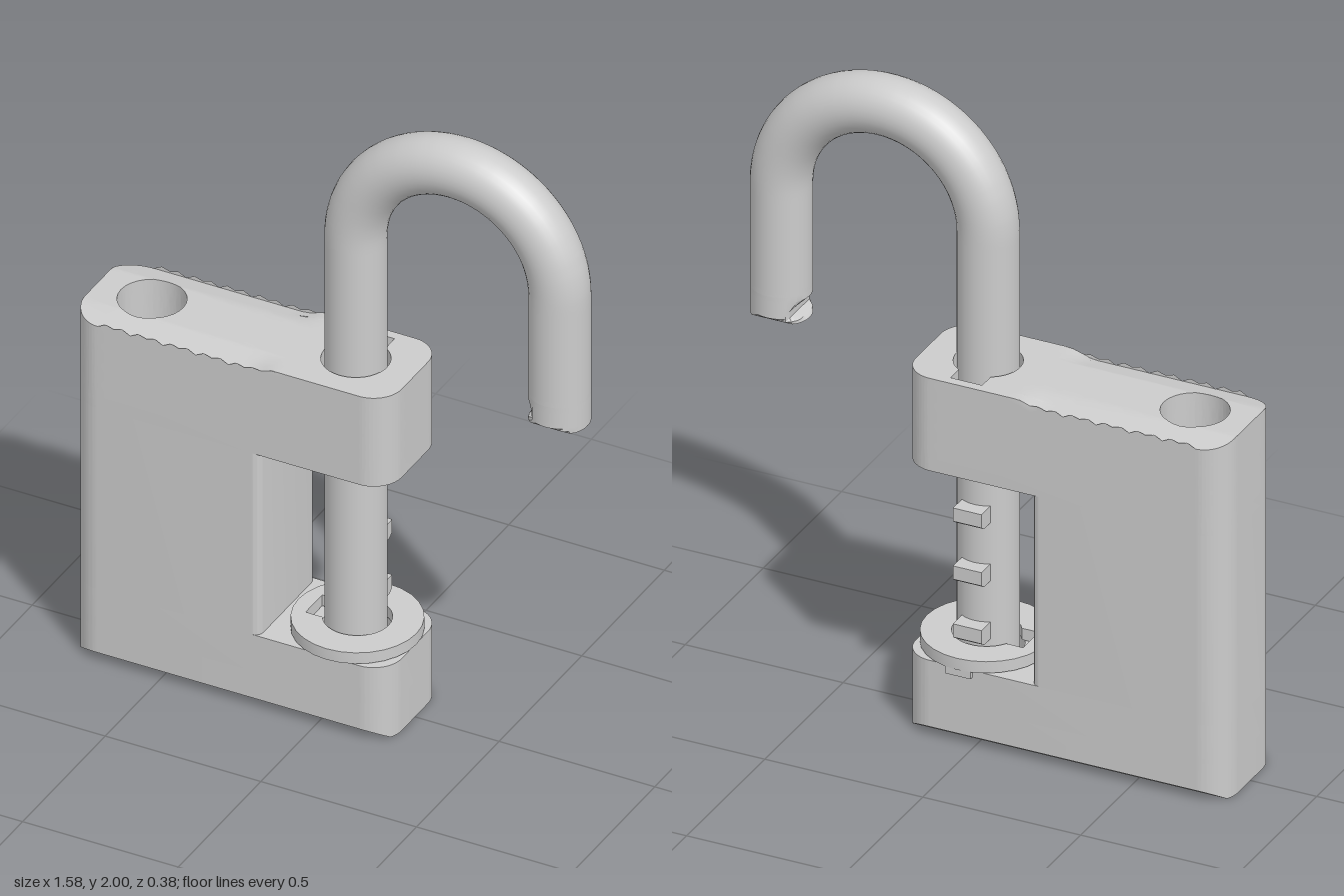
import * as THREE from 'three';
import { toCreasedNormals } from 'three/addons/utils/BufferGeometryUtils.js';
import { ConvexGeometry } from 'three/addons/geometries/ConvexGeometry.js';

const SHAFT_X = 0.04, ROD = 0.09, HALF_Z = 0.17;

// Plan outline: shape y becomes -z once laid flat
function plan(x0, x1, rl, rr) {
  const s = new THREE.Shape(), h = HALF_Z, P = Math.PI;
  s.moveTo(x0 + rl, -h);
  s.lineTo(x1 - rr, -h);
  s.absarc(x1 - rr, -h + rr, rr, -P / 2, 0);
  s.absarc(x1 - rr, h - rr, rr, 0, P / 2);
  s.absarc(x0 + rl, h - rl, rl, P / 2, P);
  s.absarc(x0 + rl, -h + rl, rl, P, P * 1.5);
  return s;
}

function roundHole(x, r) {
  return new THREE.Path().absarc(x, 0, r, 0, Math.PI * 2, true);
}

// Round hole with a slot for the lugs
function keyedHole(x, r) {
  const p = new THREE.Path(), w = 0.05, a = Math.acos(w / r);
  p.moveTo(x - w, 0.14);
  p.lineTo(x + w, 0.14);
  p.absarc(x, 0, r, a, Math.PI - a, true);
  p.closePath();
  return p;
}

function slab(shape, holes, y0, y1) {
  shape.holes.push(...holes);
  const g = new THREE.ExtrudeGeometry(shape, { depth: y1 - y0, bevelEnabled: false, curveSegments: 14 });
  return g.rotateX(-Math.PI / 2).translate(0, y0, 0);
}

// Bisect long edges so a flat cap can be bent
function refine(geometry, max) {
  const src = geometry.toNonIndexed().attributes.position, out = [];
  const split = (a, b, c) => {
    const ab = a.distanceTo(b), bc = b.distanceTo(c), ca = c.distanceTo(a);
    const longest = Math.max(ab, bc, ca);
    if (longest < max) {
      out.push(a, b, c);
      return;
    }
    // Turn the triangle so that its longest edge is p-q
    const [p, q, r] = longest === ab ? [a, b, c] : longest === bc ? [b, c, a] : [c, a, b];
    const mid = p.clone().add(q).multiplyScalar(0.5);
    split(p, mid, r);
    split(mid, q, r);
  };
  const v = i => new THREE.Vector3().fromBufferAttribute(src, i);
  for (let i = 0; i < src.count; i += 3) split(v(i), v(i + 1), v(i + 2));
  return new THREE.BufferGeometry().setFromPoints(out);
}

export function createModel() {
  const model = new THREE.Group();
  const material = new THREE.MeshStandardMaterial({ color: 0xcccccc });
  const add = (name, geometry, parent) => {
    const mesh = new THREE.Mesh(toCreasedNormals(geometry, 0.5), material);
    mesh.name = name;
    parent.add(mesh);
    return mesh;
  };

  // Body: C-shaped block made of stacked layers
  const body = new THREE.Group();
  body.name = 'body';
  model.add(body);
  const full = () => plan(-0.79, 0.23, 0.09, 0.09);

  // Base with its long lower edges chamfered
  const base = [];
  for (const p of full().getPoints(14)) {
    const z = -p.y, over = Math.max(0, Math.abs(z) - 0.125);
    base.push(new THREE.Vector3(p.x, 0.12, z), new THREE.Vector3(p.x, over * 0.67, z));
    if (over > 0) base.push(new THREE.Vector3(THREE.MathUtils.clamp(p.x, -0.77, 0.21), 0, Math.sign(z) * 0.125));
  }
  add('base', new ConvexGeometry(base), body);
  add('lowerArm', slab(full(), [roundHole(SHAFT_X, 0.105)], 0.12, 0.245), body);
  add('column', slab(plan(-0.79, -0.18, 0.09, 0.025), [], 0.245, 0.86), body);
  add('upperArmRecess', slab(full(), [roundHole(SHAFT_X, 0.15)], 0.86, 0.9), body);

  // Upper arm: the long edges of the left part of the top fall away slightly
  const top = refine(slab(full(), [roundHole(-0.615, 0.1), keyedHole(SHAFT_X, 0.1)], 0.9, 1.16), 0.04);
  const tp = top.attributes.position;
  for (let i = 0; i < tp.count; i++) {
    if (tp.getY(i) < 1.1599) continue;
    const edge = Math.max(0, Math.abs(tp.getZ(i)) - 0.09) / 0.08;
    const along = 1 - THREE.MathUtils.smoothstep(tp.getX(i), -0.22, -0.13);
    tp.setY(i, 1.16 - 0.022 * edge * along);
  }
  add('upperArm', top, body);

  // Shackle: shaft, bow and short leg in one sweep
  const shackle = new THREE.Group();
  shackle.name = 'shackle';
  model.add(shackle);
  const R = 0.3275, CX = SHAFT_X + R, CY = 1.5825, TIP = 1.25;
  const path = new THREE.CurvePath();
  const pt = (x, y) => new THREE.Vector3(x, y, 0);
  path.add(new THREE.LineCurve3(pt(SHAFT_X, 0.14), pt(SHAFT_X, CY)));
  const arc = [];
  for (let i = 0; i <= 32; i++) {
    const a = Math.PI * (1 - i / 32);
    arc.push(pt(CX + R * Math.cos(a), CY + R * Math.sin(a)));
  }
  for (let i = 0; i < 32; i++) path.add(new THREE.LineCurve3(arc[i], arc[i + 1]));
  path.add(new THREE.LineCurve3(pt(CX + R, CY), pt(CX + R, TIP)));
  add('shackleRod', new THREE.TubeGeometry(path, 140, ROD, 32), shackle);
  add('shaftEnd', new THREE.CircleGeometry(ROD, 32).rotateX(Math.PI / 2).translate(SHAFT_X, 0.14, 0), shackle);

  // Shackle tip: latch notch on the inner side, chamfered end
  const rows = [ // height, inner limit, z limit
    [TIP, 0.09, 0.09], [1.23, 0.09, 0.09], [1.2, 0.057, 0.09],
    [1.18, 0.057, 0.09], [1.17, 0.08, 0.075], [1.16, 0.09, 0.06],
  ];
  const tip = new THREE.CylinderGeometry(ROD, ROD, 1, 32, rows.length - 1);
  const p = tip.attributes.position;
  for (let i = 0; i < p.count; i++) {
    const [y, inner, zMax] = rows[Math.round((0.5 - p.getY(i)) * (rows.length - 1))];
    p.setXYZ(i, CX + R + Math.max(p.getX(i), -inner), y, THREE.MathUtils.clamp(p.getZ(i), -zMax, zMax));
  }
  add('shackleTip', tip, shackle);

  // Lugs on the back of the shaft, outer lower edge chamfered
  const lug = new THREE.Shape([[0.07, 0], [0.118, 0], [0.135, 0.012], [0.135, 0.055], [0.07, 0.055]]
    .map(([x, y]) => new THREE.Vector2(x, y)));
  for (let i = 0; i < 4; i++) {
    const g = new THREE.ExtrudeGeometry(lug, { depth: 0.09, bevelEnabled: false });
    add('lug', g.translate(0, 0, -0.045).rotateY(Math.PI / 2).translate(SHAFT_X, 0.305 + i * 0.188, 0), shackle);
  }

  // Code ring resting on the lower arm, slot turned towards the column
  const ring = new THREE.Group();
  ring.name = 'codeRing';
  ring.position.x = SHAFT_X + 0.005;
  model.add(ring);
  const disc = new THREE.Shape().absarc(0, 0, 0.19, 0, Math.PI * 2);
  add('ringDisc', slab(disc, [keyedHole(0, 0.1)], 0.248, 0.285), ring).rotation.y = Math.PI / 2;
  add('ringTab', new THREE.BoxGeometry(0.08, 0.03, 0.065).translate(0, 0.24, -0.153), ring);

  return model;
}
